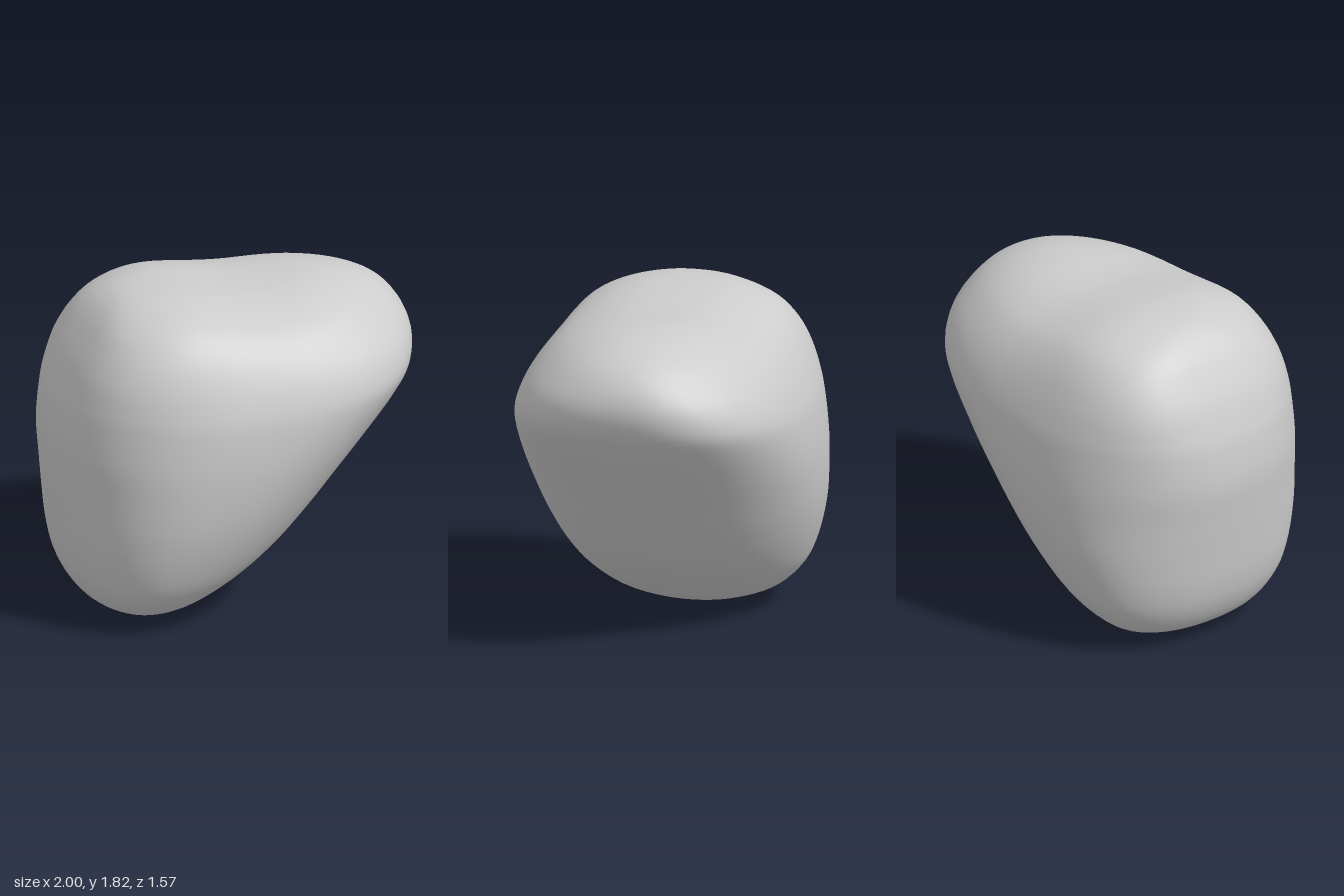
import * as THREE from 'three';
import { mergeVertices } from 'three/addons/utils/BufferGeometryUtils.js';

// Horizontal cross-sections, bottom to top:
// [y, left end x, right end x, half depth z, x of the widest point, squareness of left and right half]
const SECTIONS = [
  [0, -0.53, -0.53, 0, -0.53, 2.1, 2],
  [0.01, -0.61, -0.41, 0.18, -0.53, 2.1, 2],
  [0.04, -0.7, -0.29, 0.31, -0.53, 2.15, 2],
  [0.11, -0.82, -0.13, 0.47, -0.53, 2.2, 2],
  [0.24, -0.9, 0.07, 0.6, -0.5, 2.2, 2.05],
  [0.4, -0.943, 0.265, 0.68, -0.44, 2.2, 2.1],
  [0.6, -0.967, 0.445, 0.742, -0.35, 2.2, 2.15],
  [0.8, -0.987, 0.6, 0.775, -0.25, 2.2, 2.25],
  [1.0, -1.0, 0.755, 0.787, -0.14, 2.3, 2.4],
  [1.2, -0.975, 0.905, 0.775, -0.03, 2.5, 2.6],
  [1.32, -0.938, 0.977, 0.747, 0.02, 2.75, 2.65],
  [1.45, -0.885, 1.0, 0.695, 0.01, 3.0, 2.5],
  [1.57, -0.815, 0.96, 0.625, -0.03, 3.1, 2.25],
  [1.67, -0.742, 0.865, 0.53, -0.06, 3.0, 2.1],
  [1.74, -0.66, 0.71, 0.395, -0.06, 2.7, 2.05],
  [1.778, -0.55, 0.52, 0.25, -0.04, 2.4, 2],
  [1.79, -0.3, 0.28, 0.13, -0.02, 2.2, 2],
  [1.793, 0, 0, 0, 0, 2.2, 2],
];
const ROWS = 68, SIDES = 72;

// Smooth curve through one column of the sections
const column = (k) => {
  const curve = new THREE.CatmullRomCurve3(
    SECTIONS.map((s) => new THREE.Vector3(s[k], 0, 0)), false, 'catmullrom', 0.5);
  return (t) => curve.getPoint(t).x;
};
const bump = (x, centre, width) => Math.exp(-(((x - centre) / width) ** 2));

// Rounded boulder lofted through the sections
function boulderGeometry() {
  const columns = SECTIONS[0].map((_, k) => column(k));
  const positions = [], index = [];

  for (let i = 0; i <= ROWS; i++) {
    const [y, left, right, depth, widest, leftPower, rightPower] = columns.map((f) => f(i / ROWS));
    const topWeight = THREE.MathUtils.smoothstep(y, 1.35, 1.78);
    for (let j = 0; j < SIDES; j++) {
      const a = (j / SIDES) * Math.PI * 2;
      const c = Math.cos(a), s = Math.sin(a);
      const p = 2 / (c > 0 ? rightPower : leftPower);
      const x = widest + (c > 0 ? right - widest : left - widest) * Math.abs(c) ** p;
      const z = depth * Math.sign(s) * Math.abs(s) ** p;
      // Two soft humps with a saddle between them
      const lift = 0.032 * bump(x, -0.38, 0.26) - 0.022 * bump(x, 0.13, 0.25);
      positions.push(x, Math.max(0, y) + topWeight * lift, z);
    }
  }
  for (let i = 0; i < ROWS; i++) {
    for (let j = 0; j < SIDES; j++) {
      const a = i * SIDES + j, b = i * SIDES + (j + 1) % SIDES;
      // The end rows close to a point
      if (i > 0) index.push(a, a + SIDES, b);
      if (i < ROWS - 1) index.push(a + SIDES, b + SIDES, b);
    }
  }
  const geometry = new THREE.BufferGeometry();
  geometry.setAttribute('position', new THREE.Float32BufferAttribute(positions, 3));
  geometry.setIndex(index);
  const merged = mergeVertices(geometry, 1e-5);
  merged.computeVertexNormals();
  return merged;
}

export function createModel() {
  const group = new THREE.Group();
  group.name = 'rock';
  const boulder = new THREE.Mesh(
    boulderGeometry(), new THREE.MeshStandardMaterial({ color: 0xcccccc }));
  boulder.name = 'boulder';
  group.add(boulder);
  return group;
}
